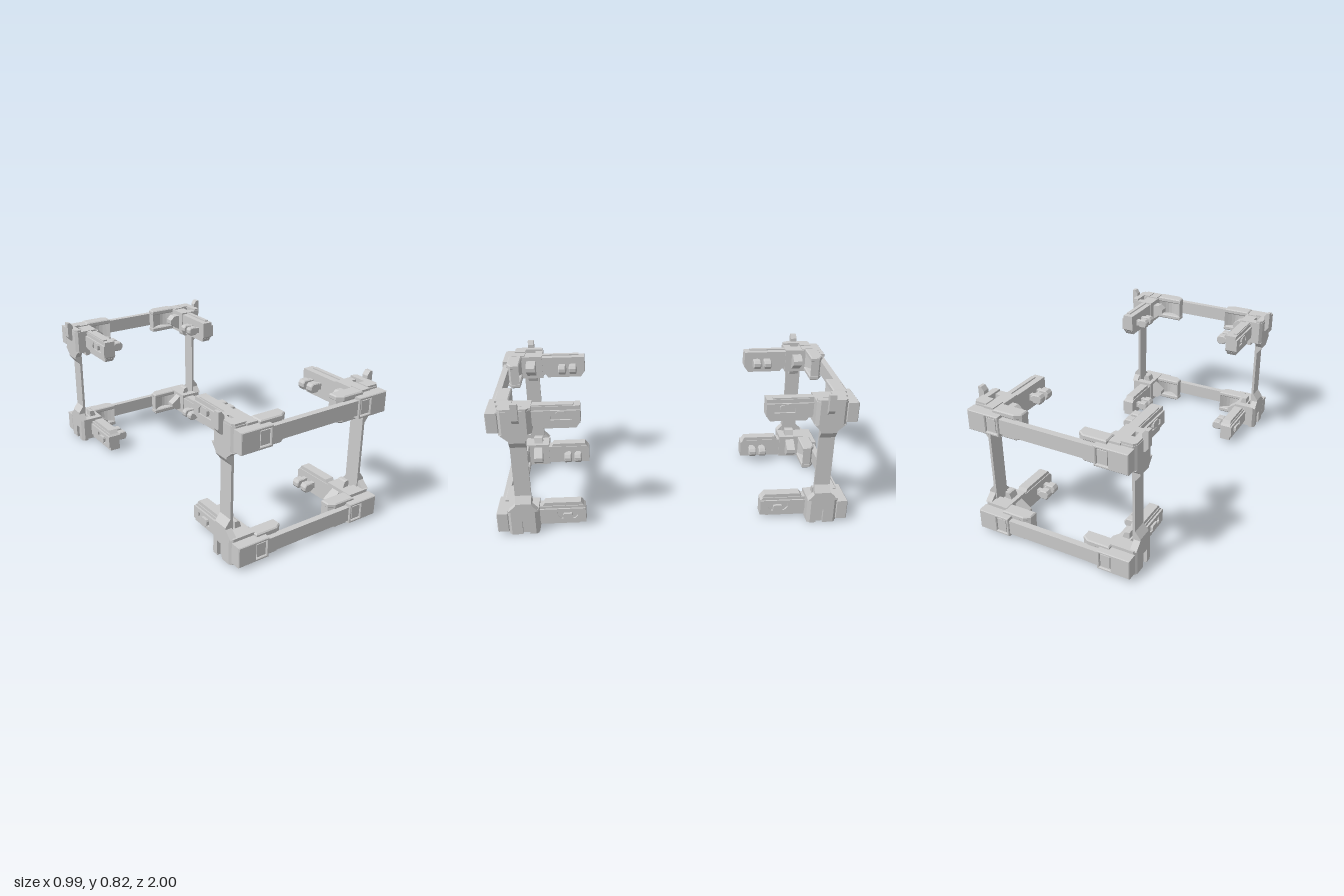
import * as THREE from 'three';

const MID = 0.389; // mirror height between lower and upper corners
const mat = new THREE.MeshStandardMaterial({ color: 0xcccccc, flatShading: true });

// Extrudes a 2D outline from a to b. axis z: (x,y), axis y: (x,z), axis x: (z,y).
function prism(axis, pts, a, b, holes = [], bevel = 0) {
  const shape = new THREE.Shape(pts.map(p => new THREE.Vector2(...p)));
  for (const h of holes) shape.holes.push(new THREE.Path(h.map(p => new THREE.Vector2(...p))));
  const g = new THREE.ExtrudeGeometry(shape, {
    depth: b - a - 2 * bevel, bevelEnabled: bevel > 0, bevelThickness: bevel,
    bevelSize: bevel, bevelOffset: -bevel, bevelSegments: 1, curveSegments: 8,
  });
  if (axis === 'z') g.translate(0, 0, a + bevel);
  if (axis === 'y') g.rotateX(Math.PI / 2).translate(0, b - bevel, 0);
  if (axis === 'x') g.rotateY(-Math.PI / 2).translate(b - bevel, 0, 0);
  return g;
}

const rect = (u0, u1, v0, v1) => [[u0, v0], [u1, v0], [u1, v1], [u0, v1]];

function box(x0, x1, y0, y1, z0, z1) {
  return new THREE.BoxGeometry(x1 - x0, y1 - y0, z1 - z0)
    .translate((x0 + x1) / 2, (y0 + y1) / 2, (z0 + z1) / 2);
}

// Mirrors a geometry and keeps its faces turned outward.
function mirrored(geo, sx, sy, sz) {
  const g = geo.index ? geo.toNonIndexed() : geo.clone();
  g.translate(0, -MID, 0);
  const p = g.attributes.position;
  for (let i = 0; i < p.count; i++) p.setXYZ(i, p.getX(i) * sx, p.getY(i) * sy, p.getZ(i) * sz);
  if (sx * sy * sz < 0) {
    const v = new THREE.Vector3(), w = new THREE.Vector3();
    for (let i = 0; i < p.count; i += 3) {
      v.fromBufferAttribute(p, i + 1);
      w.fromBufferAttribute(p, i + 2);
      p.setXYZ(i + 1, w.x, w.y, w.z);
      p.setXYZ(i + 2, v.x, v.y, v.z);
    }
  }
  g.translate(0, MID, 0);
  g.computeVertexNormals();
  return g;
}

// Corner block outline seen from above, optionally with the outer socket notch.
function blockOutline(notch) {
  const cut = notch ? [[0.47, 0.82], [0.45, 0.82], [0.45, 0.86], [0.47, 0.86]] : [];
  return [[0.325, 0.765], [0.455, 0.765], [0.47, 0.785], ...cut, [0.47, 0.92], [0.455, 0.94], [0.325, 0.94]];
}

// All parts of the upper left front corner; the lower one has a socket instead of a horn.
function cornerParts(upper) {
  const parts = [];
  const add = (name, g) => parts.push([name, g]);
  const shaft = rect(0.40, 0.43, 0.81, 0.865);

  // Block with a vertical shaft, in two layers
  add('cornerBlockInner', prism('y', blockOutline(false), 0.625, 0.69, [shaft]));
  add('cornerBlockOuter', prism('y', blockOutline(!upper), 0.69, 0.766, [shaft]));
  add('cornerCap', prism('y', [[0.43, 0.77], [0.455, 0.77], [0.468, 0.785],
    ...(upper ? [] : [[0.468, 0.82], [0.45, 0.82], [0.45, 0.86], [0.468, 0.86]]),
    [0.468, 0.92], [0.455, 0.935], [0.39, 0.935], [0.39, 0.87], [0.43, 0.87]], 0.766, 0.777));

  // Post half with tapered shoulder
  add('post', prism('z', [[0.425, MID], [0.44, MID], [0.44, 0.54], [0.47, 0.58], [0.47, 0.63], [0.425, 0.63]], 0.80, 0.89));
  add('postShoulder', prism('x', [[0.80, 0.59], [0.89, 0.59], [0.935, 0.63], [0.765, 0.63]], 0.432, 0.47));

  // Gusset behind the beam: flat upper and lower plates with a scooped web
  const plate = [[0.165, 0.888], [0.33, 0.888], [0.33, 0.965], [0.20, 0.965], [0.165, 0.94]];
  add('gussetTopPlate', prism('y', plate, 0.745, 0.775, [], 0.006));
  add('gussetBottomPlate', prism('y', plate, 0.627, 0.655, [], 0.006));
  const scoop = [];
  for (let i = 0; i <= 8; i++) {
    const t = i / 8;
    scoop.push([0.167 + 0.16 * t, 0.89 + 0.045 * Math.sin(Math.PI * t)]);
  }
  add('gussetWeb', prism('y', [...scoop, [0.33, 0.96], [0.20, 0.96], [0.167, 0.94]], 0.65, 0.75));

  // Beam clip: wrapped end with a window frame
  add('clip', prism('z', rect(0.275, 0.465, 0.642, 0.757), 0.935, 1.0, [rect(0.29, 0.355, 0.657, 0.742)], 0.004));
  add('clipWindow', box(0.295, 0.35, 0.662, 0.737, 0.95, 0.995));

  // Inward hook beside the shaft
  add('hook', prism('z', [[0.40, 0.74], [0.29, 0.74], [0.26, 0.715], [0.26, 0.69], [0.35, 0.625],
    [0.362, 0.592], [0.372, 0.588], [0.39, 0.588], [0.39, 0.625], [0.40, 0.64]], 0.805, 0.86));

  // Arm toward the middle of the set
  add('arm', prism('x', [[0.505, 0.66], [0.52, 0.645], [0.77, 0.645], [0.77, 0.757], [0.505, 0.757]], 0.33, 0.395));
  add('armKeel', prism('x', [[0.53, 0.625], [0.735, 0.625], [0.75, 0.647], [0.515, 0.647]], 0.335, 0.39));
  add('armRootStrip', box(0.335, 0.395, 0.76, 0.772, 0.87, 0.95));
  add('armOuterPlate', prism('x', rect(0.505, 0.77, 0.66, 0.735), 0.39, 0.405,
    [[[0.55, 0.68], [0.665, 0.68], [0.665, 0.705], [0.645, 0.725], [0.57, 0.725], [0.55, 0.705]]]));
  add('armTopRib', box(0.365, 0.39, 0.755, 0.764, 0.54, 0.765));
  add('armLatch', prism('x', [[0.585, 0.69], [0.63, 0.69], [0.635, 0.70], [0.635, 0.72],
    [0.625, 0.73], [0.59, 0.73], [0.58, 0.72], [0.58, 0.70]], 0.39, 0.411));

  // Paired prongs on the inner side of the arm
  for (const z of [0.575, 0.64]) {
    add('prongNeck', box(0.29, 0.335, 0.68, 0.715, z - 0.014, z + 0.014));
    add('prong', prism('z', [[0.25, 0.69], [0.262, 0.672], [0.30, 0.672], [0.318, 0.69],
      [0.318, 0.71], [0.30, 0.725], [0.262, 0.725], [0.25, 0.71]], z - 0.023, z + 0.023, [], 0.005));
  }

  // Locating horn on the outer side
  if (upper) {
    add('horn', prism('z', [[0.462, 0.70], [0.478, 0.70], [0.497, 0.725], [0.497, 0.818],
      [0.479, 0.818], [0.462, 0.795]], 0.823, 0.86));
  }
  return parts;
}

export function createModel() {
  const model = new THREE.Group();
  model.name = 'cornerBracketSet';
  const upperParts = cornerParts(true), lowerParts = cornerParts(false);
  const beam = box(-0.28, 0.28, 0.66, 0.742, 0.955, 0.99);

  for (const sz of [1, -1]) {
    const frame = new THREE.Group();
    frame.name = sz > 0 ? 'frontFrame' : 'backFrame';
    model.add(frame);
    for (const sy of [1, -1]) {
      const level = sy > 0 ? 'upper' : 'lower';
      const bar = new THREE.Mesh(mirrored(beam, 1, sy, sz), mat);
      bar.name = level + 'Beam';
      frame.add(bar);
      for (const sx of [1, -1]) {
        const corner = new THREE.Group();
        corner.name = level + (sx > 0 ? 'Left' : 'Right') + 'Corner';
        for (const [name, g] of sy > 0 ? upperParts : lowerParts) {
          const mesh = new THREE.Mesh(mirrored(g, sx, sy, sz), mat);
          mesh.name = name;
          corner.add(mesh);
        }
        frame.add(corner);
      }
    }
  }
  return model;
}
